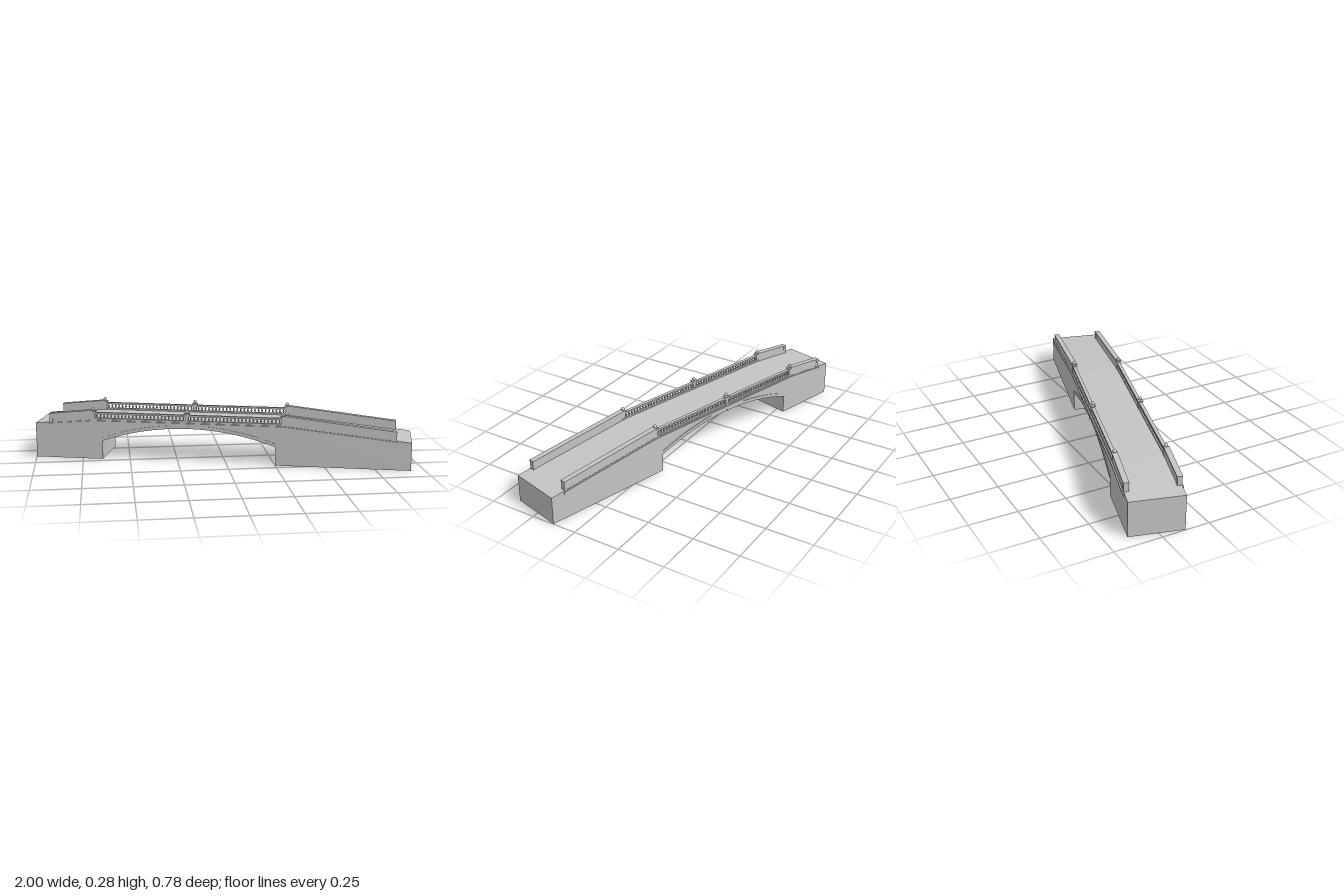
import * as THREE from 'three';
import { mergeGeometries } from 'three/addons/utils/BufferGeometryUtils.js';

const END = 0.997, HALF_W = 0.1375;            // half length and half width of the bridge
const POSTS = [-0.68, -0.173, 0.335];          // lamp-post style pillars along the flat span
const RAIL_Z = 0.126, FLAT_Y = 0.215;
const ARCH = { x: -0.168, half: 0.4635, spring: 0.1, crown: 0.182 };

// Deck height along the bridge: flat in the middle, a ramp at each end
function deckY(x) {
  if (x < POSTS[0]) return FLAT_Y - (POSTS[0] - x) * 0.088;
  if (x > POSTS[2]) return FLAT_Y - (x - POSTS[2]) * 0.103;
  return FLAT_Y;
}

function archPoints(n) {
  const rise = ARCH.crown - ARCH.spring;
  const r = (ARCH.half ** 2 + rise ** 2) / (2 * rise);
  const a = Math.asin(ARCH.half / r);
  const pts = [];
  for (let i = 0; i <= n; i++) {
    const t = -a + (2 * a * i) / n;
    pts.push([ARCH.x + r * Math.sin(t), ARCH.crown - r + r * Math.cos(t)]);
  }
  return pts;
}

const toShape = (pts) => new THREE.Shape(pts.map((p) => new THREE.Vector2(p[0], p[1])));

// Side outline pushed across the bridge from z0 to z1
function slab(pts, z0, z1) {
  const g = new THREE.ExtrudeGeometry(toShape(pts), { depth: z1 - z0, bevelEnabled: false });
  return g.translate(0, 0, z0);
}

// Band following a line, between two heights above it
function band(line, low, high, z0, z1) {
  const top = line.map(([x, y]) => [x, y + high]);
  const bottom = line.map(([x, y]) => [x, y + low]).reverse();
  return slab([...bottom, ...top], z0, z1);
}

// Open sheet spanning the full width along a side profile
function sheet(pts) {
  const pos = [];
  for (let i = 0; i < pts.length - 1; i++) {
    const [ax, ay] = pts[i], [bx, by] = pts[i + 1], w = HALF_W;
    pos.push(ax, ay, -w, ax, ay, w, bx, by, w, ax, ay, -w, bx, by, w, bx, by, -w);
  }
  const g = new THREE.BufferGeometry();
  g.setAttribute('position', new THREE.Float32BufferAttribute(pos, 3));
  g.computeVertexNormals();
  return g;
}

const box = (w, h, d, x, y, z) => new THREE.BoxGeometry(w, h, d).translate(x, y, z);

export function createModel() {
  const model = new THREE.Group();
  const bridge = new THREE.Group();
  bridge.name = 'bridge';
  bridge.rotation.y = -THREE.MathUtils.degToRad(15.1);
  model.add(bridge);

  const stone = new THREE.MeshStandardMaterial({ color: 0xc4c4c4, side: THREE.DoubleSide });
  stone.name = 'grey stone';
  const add = (name, geometry, parent = bridge) => {
    const m = new THREE.Mesh(geometry, stone);
    m.name = name;
    parent.add(m);
    return m;
  };

  // Hollow body, open underneath: deck with end walls, arch lining, two side walls
  const deck = [[-END, 0], [-END, deckY(-END)], [POSTS[0], FLAT_Y], [POSTS[2], FLAT_Y],
    [END, deckY(END)], [END, 0]];
  const arch = archPoints(32);
  const opening = [[ARCH.x + ARCH.half, 0], ...arch.slice().reverse(), [ARCH.x - ARCH.half, 0]];
  add('deckAndEndWalls', sheet(deck));
  add('archLining', sheet(opening));
  const wall = new THREE.ShapeGeometry(toShape([...deck, ...opening]));
  add('frontWall', wall.clone().translate(0, 0, HALF_W));
  add('backWall', wall.clone().rotateY(Math.PI).scale(-1, 1, 1).translate(0, 0, -HALF_W));

  // Turned baluster and ball finial profiles
  const baluster = new THREE.LatheGeometry(
    [[0.004, 0], [0.0025, 0.004], [0.0055, 0.009], [0.0025, 0.017], [0.004, 0.022]]
      .map((p) => new THREE.Vector2(p[0], p[1])), 8);
  const ball = new THREE.SphereGeometry(0.0095, 16, 12);

  for (const s of [1, -1]) {
    const side = new THREE.Group();
    side.name = s > 0 ? 'frontSide' : 'backSide';
    bridge.add(side);
    const z = s * RAIL_Z;
    const across = (a, b) => (s > 0 ? [a, b] : [-b, -a]);

    // Cornice moulding below the deck edge
    const line = [-0.925, POSTS[0], POSTS[2], 0.925].map((x) => [x, deckY(x)]);
    add('cornice', mergeGeometries([
      band(line, -0.012, -0.004, ...across(0.13, 0.1445)),
      band(line, -0.019, -0.012, ...across(0.13, 0.1415)),
    ]), side);

    // Arch trim and keystone
    add('archTrim', band(arch, 0, 0.018, ...across(0.137, 0.1405)), side);
    add('keystone', slab([[-0.179, 0.182], [-0.167, 0.182], [-0.163, 0.203], [-0.183, 0.203]],
      ...across(0.137, 0.144)), side);

    // Solid ramp parapets with coping and end piers
    for (const [x0, x1] of [[POSTS[0], -0.92], [POSTS[2], 0.92]]) {
      const y1 = deckY(x1) + 0.041, dir = Math.sign(x1 - x0);
      const top = [[x0, 0.26], [x1, y1]];
      add('rampParapet', slab([[x0, FLAT_Y - 0.006], [x1, deckY(x1) - 0.006], top[1], top[0]],
        ...across(0.116, 0.1365)), side);
      add('parapetCoping', band(top, 0, 0.007, ...across(0.112, 0.1405)), side);
      add('endPier', box(0.018, 0.05, 0.025, x1 - dir * 0.009, deckY(x1) + 0.019, z), side);
    }

    // Posts with flared caps and ball finials
    for (const x of POSTS) {
      add('post', mergeGeometries([
        box(0.02, 0.046, 0.018, x, 0.232, z),
        box(0.024, 0.008, 0.022, x, 0.219, z),
        box(0.024, 0.003, 0.022, x, 0.2565, z),
        box(0.03, 0.004, 0.028, x, 0.26, z),
      ]), side);
      add('ballFinial', ball.clone().translate(x, 0.2725, z), side);
    }

    // Balustrade bays between the posts
    for (let b = 0; b < 2; b++) {
      const a = POSTS[b], len = POSTS[b + 1] - a, mid = a + len / 2, n = 26;
      add('bottomRail', box(len, 0.009, 0.018, mid, 0.2185, z), side);
      add('topRail', box(len, 0.009, 0.018, mid, 0.2495, z), side);
      const parts = [];
      for (let i = 1; i < n; i++) parts.push(baluster.clone().translate(a + (len * i) / n, 0.223, z));
      add('balusters', mergeGeometries(parts), side);
    }
  }
  return model;
}
